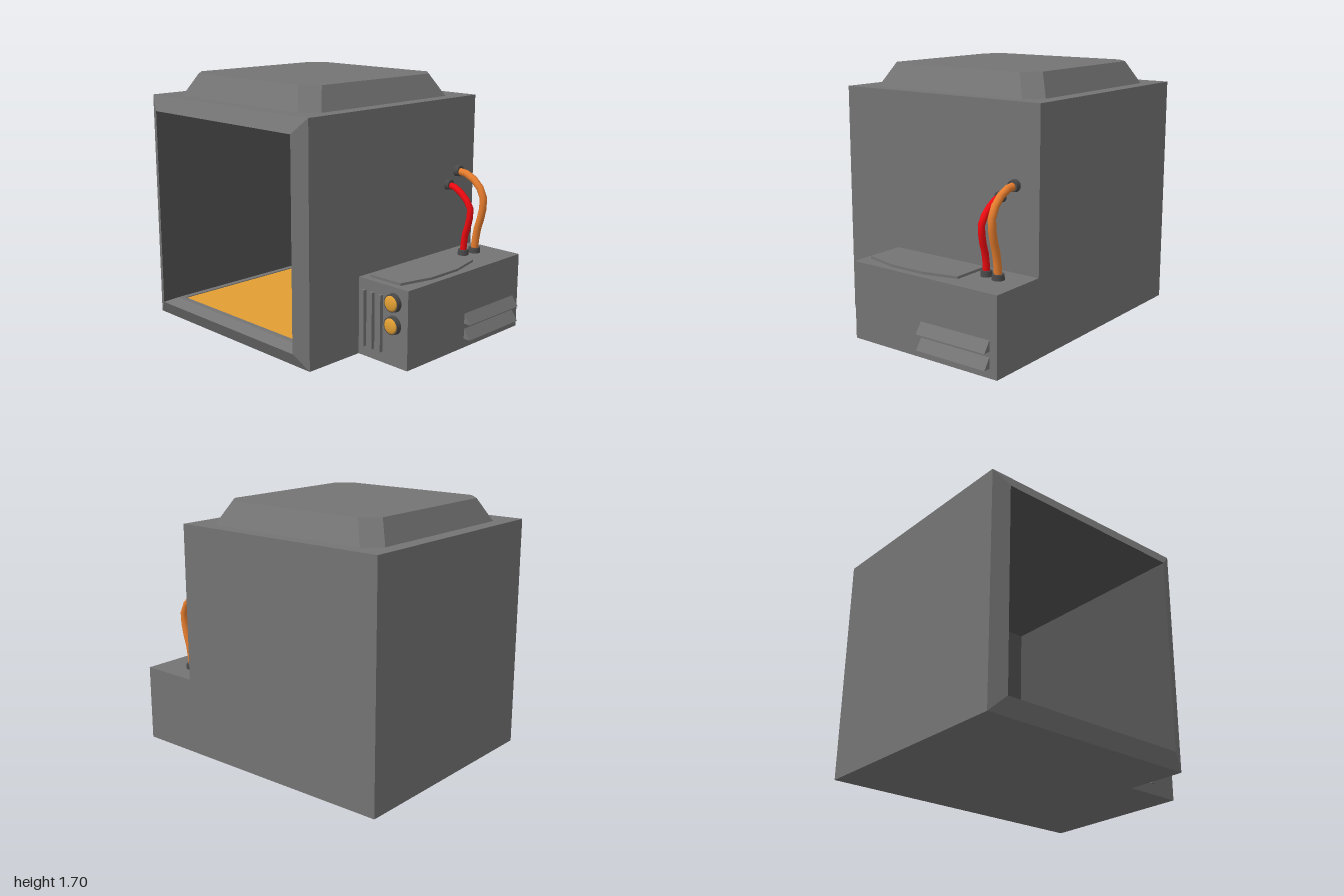
import * as THREE from 'three';

const mat = (color, extra = {}) => new THREE.MeshStandardMaterial({ color, ...extra });
const grey = mat(0x747474);
const greyFlat = mat(0x747474, { flatShading: true });
const interior = mat(0x545454, { flatShading: true });
const dark = mat(0x4a4a4a);
const amber = mat(0xe29f33);
const red = mat(0xee0a10);
const orange = mat(0xe67d2e);

// Flat-faced skin through a list of matching rings, with optional end caps
function loft(rings, capStart = true, capEnd = true) {
  const p = [];
  const n = rings[0].length;
  const tri = (a, b, c) => p.push(...a, ...b, ...c);
  for (let r = 0; r < rings.length - 1; r++) {
    const a = rings[r], b = rings[r + 1];
    for (let i = 0; i < n; i++) {
      const j = (i + 1) % n;
      tri(a[i], a[j], b[j]);
      tri(a[i], b[j], b[i]);
    }
  }
  const first = rings[0], last = rings[rings.length - 1];
  for (let i = 1; i < n - 1; i++) {
    if (capStart) tri(first[0], first[i + 1], first[i]);
    if (capEnd) tri(last[0], last[i], last[i + 1]);
  }
  const g = new THREE.BufferGeometry();
  g.setAttribute('position', new THREE.Float32BufferAttribute(p, 3));
  g.computeVertexNormals();
  return g;
}

// Upright rectangle at depth z
const rectXY = (x0, x1, y0, y1, z) => [[x0, y0, z], [x1, y0, z], [x1, y1, z], [x0, y1, z]];
// Level rectangle at height y
const rectXZ = (x0, x1, z0, z1, y) => [[x0, y, z1], [x1, y, z1], [x1, y, z0], [x0, y, z0]];
// Level rectangle with cut corners
const octXZ = (x0, x1, z0, z1, c, y) => [
  [x0 + c, y, z1], [x1 - c, y, z1], [x1, y, z1 - c], [x1, y, z0 + c],
  [x1 - c, y, z0], [x0 + c, y, z0], [x0, y, z0 + c], [x0, y, z1 - c],
];

export function createModel() {
  const model = new THREE.Group();
  const add = (name, geometry, material, x = 0, y = 0, z = 0) => {
    const m = new THREE.Mesh(geometry, material);
    m.name = name;
    m.position.set(x, y, z);
    model.add(m);
  };

  // Cabinet: outer walls and bevelled front frame
  const opening = rectXY(-0.9, 0.445, 0.1, 1.45, 0.8);
  add('cabinet', loft([
    rectXY(-1, 0.545, 0, 1.55, -0.8),
    rectXY(-1, 0.545, 0, 1.55, 0.75),
    opening,
  ], true, false), greyFlat);

  // Darker cavity behind the frame
  add('cavity', loft([opening, rectXY(-0.9, 0.445, 0.1, 1.45, -0.68)], false, true), interior);

  // Sloped, flat-topped rim around the floor, and the warm floor panel
  add('floorRim', loft([
    rectXZ(-0.9, 0.445, -0.68, 0.8, 0.1),
    rectXZ(-0.83, 0.375, -0.61, 0.73, 0.135),
    rectXZ(-0.79, 0.335, -0.57, 0.69, 0.135),
    rectXZ(-0.79, 0.335, -0.57, 0.69, 0.12),
  ], false, false), greyFlat);
  add('floorPanel', new THREE.PlaneGeometry(1.125, 1.26).rotateX(-Math.PI / 2), amber, -0.2275, 0.13, 0.06);

  // Raised roof with cut corners
  add('roofCap', loft([
    octXZ(-0.9, 0.447, -0.7, 0.65, 0.1, 1.55),
    octXZ(-0.82, 0.365, -0.62, 0.57, 0.1, 1.7),
  ]), greyFlat);

  // Side unit
  add('sideUnit', new THREE.BoxGeometry(0.41, 0.51, 1.125), grey, 0.748, 0.255, -0.2375);

  // Thin lid panel on the side unit (shape y becomes -z)
  const lid = new THREE.Shape([
    [0.6, -0.28], [0.85, -0.28], [0.905, -0.05], [0.905, 0.2], [0.85, 0.43], [0.6, 0.43],
  ].map(([x, y]) => new THREE.Vector2(x, y)));
  add('lidPanel', new THREE.ExtrudeGeometry(lid, { depth: 0.016, bevelEnabled: false })
    .rotateX(-Math.PI / 2), grey, 0, 0.51, 0);

  // Wedge louvres on the outer side
  const wedge = new THREE.Shape([[0, 0], [0.047, 0], [0, 0.068]].map(([x, y]) => new THREE.Vector2(x, y)));
  for (const y of [0.06, 0.163]) {
    add('louvre', new THREE.ExtrudeGeometry(wedge, { depth: 0.52, bevelEnabled: false }), grey, 0.953, y, -0.745);
  }

  // Front vent bars
  for (let i = 0; i < 3; i++) {
    add('ventBar', new THREE.BoxGeometry(0.025, 0.37, 0.025), grey, 0.597 + i * 0.07, 0.255, 0.3375);
  }

  // Front lamps: dark collar and domed lens
  for (const y of [0.412, 0.268]) {
    add('lampCollar', new THREE.CylinderGeometry(0.056, 0.06, 0.03, 24).rotateX(Math.PI / 2), dark, 0.84, y, 0.34);
    const lens = new THREE.SphereGeometry(0.05, 24, 8, 0, Math.PI * 2, 0, Math.PI / 2).rotateX(Math.PI / 2);
    add('lampLens', lens.scale(1, 1, 0.32), amber, 0.84, y, 0.354);
  }

  // Hoses from the cabinet wall down to the side unit, with dark end collars
  const hoses = [
    { name: 'redHose', material: red, z: -0.525, r: 0.022, path: [[0.55, 0.97], [0.615, 0.957], [0.685, 0.91], [0.742, 0.84], [0.735, 0.74], [0.705, 0.64], [0.695, 0.53]] },
    { name: 'orangeHose', material: orange, z: -0.625, r: 0.025, path: [[0.55, 1.05], [0.625, 1.04], [0.715, 0.99], [0.772, 0.9], [0.765, 0.79], [0.728, 0.66], [0.712, 0.53]] },
  ];
  for (const { name, material, z, r, path } of hoses) {
    const curve = new THREE.CatmullRomCurve3(path.map(([x, y]) => new THREE.Vector3(x, y, z)));
    add(name, new THREE.TubeGeometry(curve, 9, r, 12), material);
    const [, wallY] = path[0];
    const [baseX] = path[path.length - 1];
    const R = r + 0.015;
    add('wallCollar', new THREE.CylinderGeometry(R * 0.9, R, 0.034, 16).rotateZ(-Math.PI / 2), dark, 0.56, wallY, z);
    add('baseCollar', new THREE.CylinderGeometry(R * 0.95, R, 0.036, 16), dark, baseX, 0.528, z);
  }

  return model;
}
